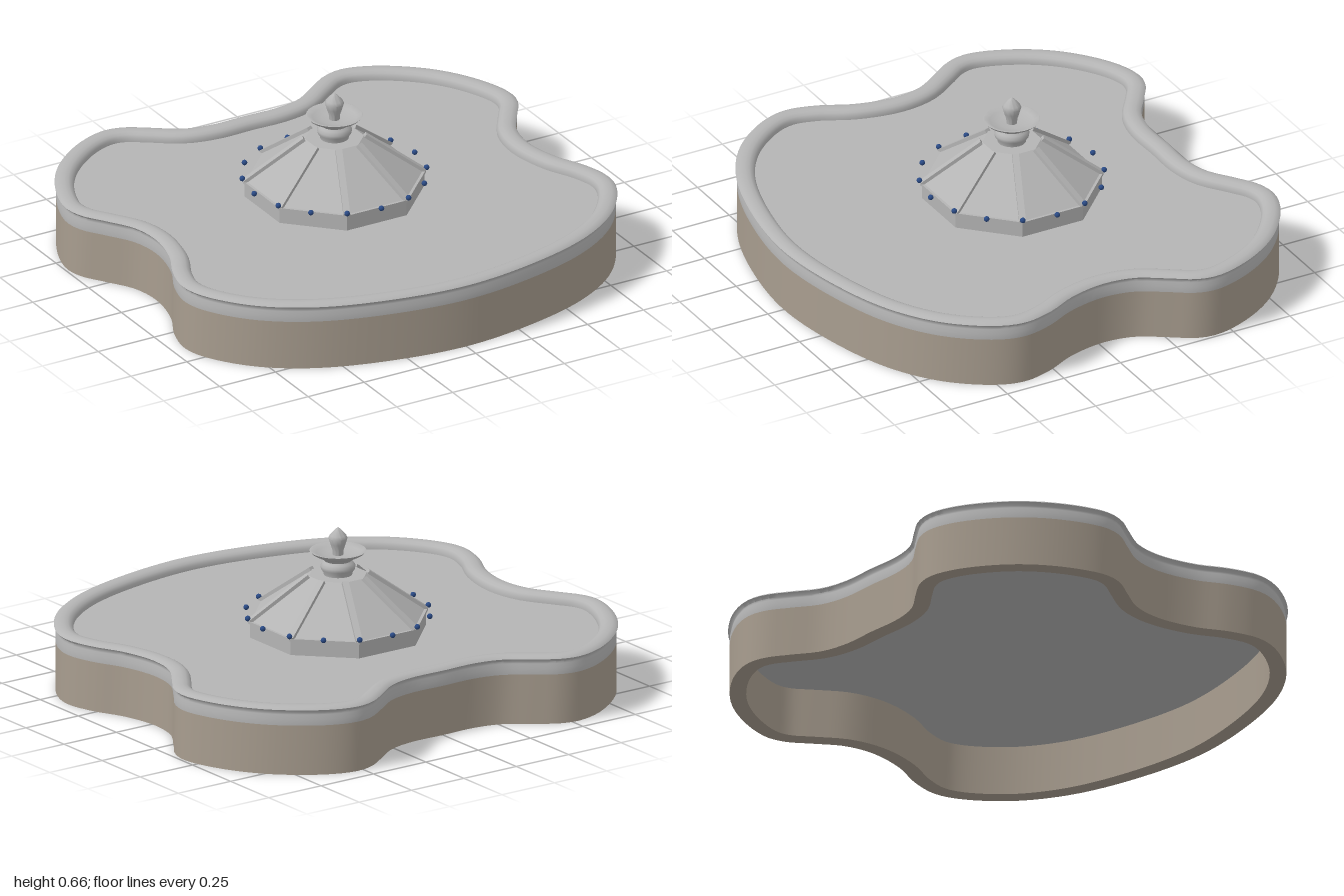
import * as THREE from 'three';
import { toCreasedNormals } from 'three/addons/utils/BufferGeometryUtils.js';

export function createModel() {
  const model = new THREE.Group();
  const mat = (name, color) => {
    const m = new THREE.MeshStandardMaterial({ color });
    m.name = name;
    return m;
  };
  const stone = mat('warm stone', 0xa89d8f);
  const grey = mat('pale grey', 0xb4b4b4);
  const blue = mat('deep blue', 0x2a4a85);

  const add = (parent, name, geometry, material, x = 0, y = 0, z = 0) => {
    const mesh = new THREE.Mesh(geometry, material);
    mesh.name = name;
    mesh.position.set(x, y, z);
    parent.add(mesh);
    return mesh;
  };

  // Half outline on the left side, back centre to front centre, then mirrored
  const half = [
    [0, -0.775], [0.15, -0.774], [0.26, -0.80], [0.36, -0.868], [0.45, -0.925], [0.535, -0.94],
    [0.66, -0.9], [0.83, -0.77], [0.94, -0.61], [0.995, -0.44], [0.98, -0.35],
    [0.92, -0.255], [0.855, -0.147], [0.835, -0.02], [0.865, 0.135], [0.925, 0.265],
    [0.953, 0.39], [0.925, 0.5], [0.8, 0.67], [0.61, 0.8], [0.34, 0.89], [0, 0.935],
  ];
  const mirrored = half.slice(1, -1).reverse().map(([x, z]) => [-x, z]);
  const curve = new THREE.CatmullRomCurve3(
    [...half, ...mirrored].map(([x, z]) => new THREE.Vector3(x, 0, z)), true, 'centripetal');
  const N = 200;

  // Outline moved inward by d
  const inset = (d) => Array.from({ length: N }, (_, i) => {
    const p = curve.getPointAt(i / N), t = curve.getTangentAt(i / N);
    return [p.x - t.z * d, p.z + t.x * d];
  });

  // Sweep a profile of [inset, height] points around the outline
  const sweep = (profile) => {
    const pos = [], idx = [];
    profile.forEach(([d, y], j) => {
      inset(d).forEach(([x, z], i) => {
        pos.push(x, y, z);
        if (j === profile.length - 1) return;
        const a = j * N + i, b = j * N + (i + 1) % N;
        idx.push(a, a + N, b, b, a + N, b + N);
      });
    });
    const g = new THREE.BufferGeometry();
    g.setAttribute('position', new THREE.Float32BufferAttribute(pos, 3));
    g.setIndex(idx);
    return toCreasedNormals(g, 0.9);
  };

  // Base wall and its rounded coping
  add(model, 'baseWall', sweep([[0.07, 0.21], [0.07, 0], [0.006, 0], [0.006, 0.2]].reverse()
    .reverse()
    .slice(2)
    .concat([[0.02, 0.205]])), stone);
  add(model, 'baseWallInside', sweep([[0.07, 0.21], [0.07, 0], [0.006, 0]]), stone);
  add(model, 'coping', sweep([
    [0.006, 0.2], [0.006, 0.225], [0.011, 0.243], [0.012, 0.252], [0, 0.264], [0.008, 0.271],
    [0.022, 0.275], [0.038, 0.276], [0.054, 0.274], [0.067, 0.267], [0.075, 0.255], [0.075, 0.238],
  ]), grey);

  // Floor slab
  const floorShape = new THREE.Shape(inset(0.068).map(([x, z]) => new THREE.Vector2(x, -z)));
  const floor = new THREE.ExtrudeGeometry(floorShape, { depth: 0.04, bevelEnabled: false });
  floor.rotateX(-Math.PI / 2);
  add(model, 'floor', floor, grey, 0, 0.2, 0);

  // Octagonal pavilion roof
  const pavilion = new THREE.Group();
  pavilion.name = 'pavilion';
  pavilion.position.z = -0.08;
  model.add(pavilion);
  const octagon = (rTop, rBottom, y0, y1) => {
    const g = new THREE.CylinderGeometry(rTop, rBottom, y1 - y0, 8, 1, false, Math.PI / 8).toNonIndexed();
    g.computeVertexNormals();
    return g.translate(0, (y0 + y1) / 2, 0);
  };
  add(pavilion, 'drum', octagon(0.35, 0.35, 0.235, 0.3), grey);
  add(pavilion, 'eaves', octagon(0.357, 0.357, 0.297, 0.307), grey);
  add(pavilion, 'roof', octagon(0.115, 0.348, 0.305, 0.472), grey);

  // Hip ribs along the roof edges
  const run = 0.232, rise = 0.168;
  for (let i = 0; i < 8; i++) {
    const arm = new THREE.Group();
    arm.name = 'ribArm';
    arm.rotation.y = (i + 0.5) * Math.PI / 4;
    pavilion.add(arm);
    const rib = add(arm, 'rib', new THREE.BoxGeometry(0.026, 0.018, Math.hypot(run, rise)), grey,
      0, 0.389, 0.234);
    rib.rotation.x = Math.atan2(rise, run);
  }

  // Neck, saucer and pointed finial
  const lathe = (pts, crease) => toCreasedNormals(
    new THREE.LatheGeometry(pts.map(([r, y]) => new THREE.Vector2(r, y)), 32), crease);
  add(pavilion, 'saucer', lathe([
    [0.055, 0.465], [0.056, 0.48], [0.066, 0.495], [0.068, 0.508], [0.06, 0.52], [0.052, 0.528],
    [0.06, 0.537], [0.08, 0.547], [0.1, 0.558], [0.11, 0.569], [0.106, 0.57],
    [0.085, 0.56], [0.05, 0.552], [0, 0.55],
  ], 0.9), grey);
  add(pavilion, 'finial', lathe([
    [0.02, 0.545], [0.022, 0.57], [0.03, 0.595], [0.037, 0.619], [0.032, 0.63], [0.012, 0.653], [0, 0.662],
  ], 0.8), grey);

  // Ring of small lamps around the eaves
  const lampGeometry = new THREE.SphereGeometry(0.011, 12, 8);
  for (let i = 0; i < 16; i++) {
    const a = i * Math.PI / 8;
    add(pavilion, 'lamp', lampGeometry, blue, 0.359 * Math.sin(a), 0.318, 0.359 * Math.cos(a));
  }
  return model;
}
